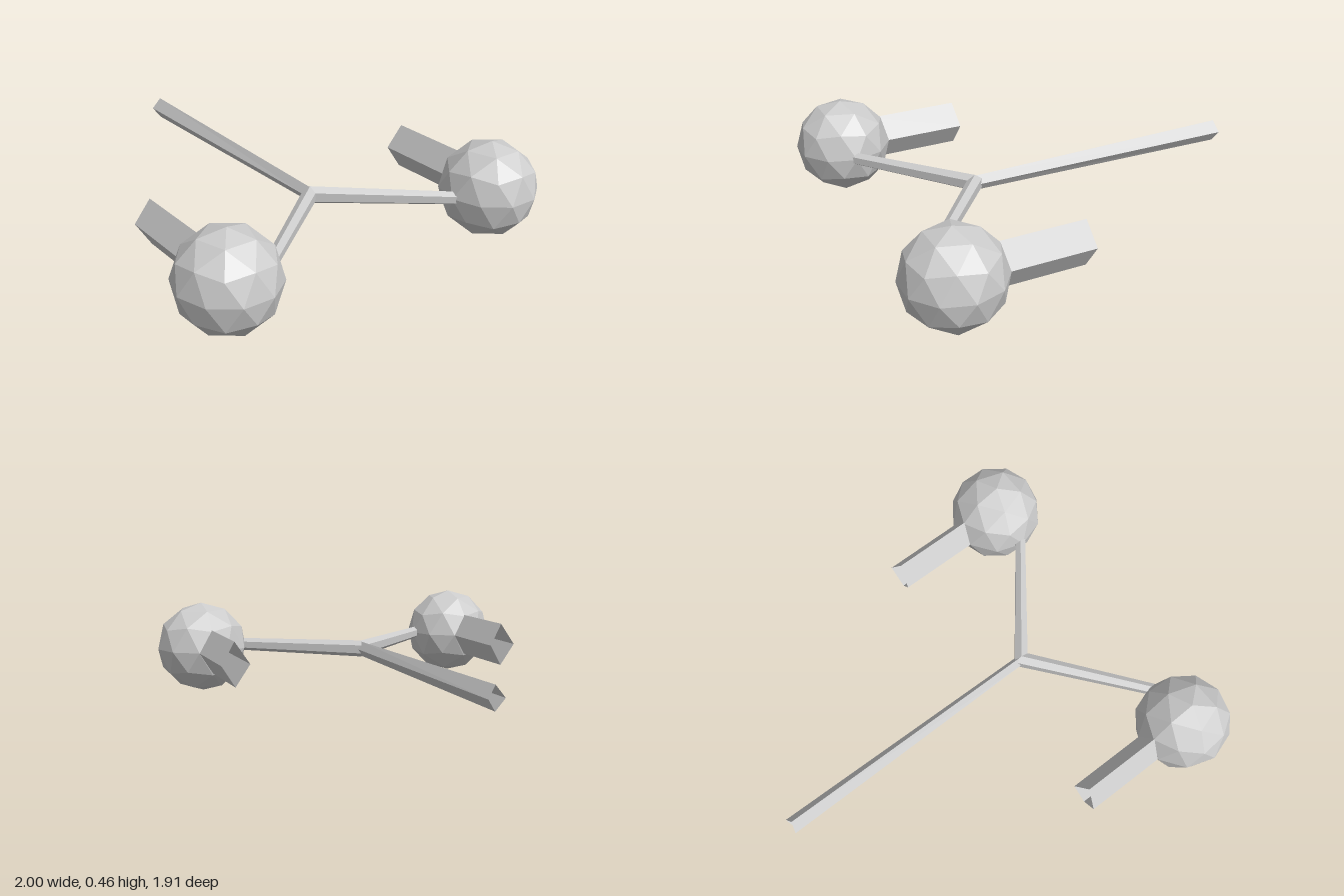
import * as THREE from 'three';

const MID = 0.23; // height of the common centre plane
const BALL_X = 0.781, BALL_Z = 0.725, BALL_R = 0.23;

const solid = new THREE.MeshStandardMaterial({ color: 0xcccccc, flatShading: true });
const open = new THREE.MeshStandardMaterial({ color: 0xcccccc, flatShading: true, side: THREE.DoubleSide });

// Open-ended skin through equally sized rings of [x, y, z] points
function loft(name, rings) {
  const n = rings[0].length;
  const index = [];
  for (let r = 0; r < rings.length - 1; r++) {
    for (let i = 0; i < n; i++) {
      const a = r * n + i, b = r * n + (i + 1) % n;
      index.push(a, a + n, b, b, a + n, b + n);
    }
  }
  const geometry = new THREE.BufferGeometry();
  geometry.setAttribute('position', new THREE.Float32BufferAttribute(rings.flat(2), 3));
  geometry.setIndex(index);
  const flat = geometry.toNonIndexed();
  flat.computeVertexNormals();
  const mesh = new THREE.Mesh(flat, open);
  mesh.name = name;
  return mesh;
}

// Diamond section across x; notch sets the top and bottom corners back
const diamond = (x, z, halfH, halfW, notch = 0) => [
  [x + notch, MID + halfH, z],
  [x, MID, z - halfW],
  [x + notch, MID - halfH, z],
  [x, MID, z + halfW],
];

// Six-sided section lying in a plane of constant z, point upwards
const hexagon = (x, z, halfH, halfW) => [
  [0, 1], [1, 0.5], [1, -0.5], [0, -1], [-1, -0.5], [-1, 0.5],
].map(([u, v]) => [x + u * halfW, MID + v * halfH, z]);

export function createModel() {
  const model = new THREE.Group();
  model.name = 'forkedModel';

  // Long tapering stem with a notched open tip
  model.add(loft('stem', [diamond(-1, 0, 0.055, 0.04, 0.014), diamond(0.36, 0, 0.037, 0.024)]));

  // V-shaped fork, mitred at the stem and buried in the balls
  model.add(loft('fork', [
    hexagon(0.815, 0.56, 0.031, 0.03),
    hexagon(0.37, 0, 0.042, 0.04),
    hexagon(0.815, -0.56, 0.031, 0.03),
  ]));

  // Faceted ball with a corner at each pole
  const ballGeometry = new THREE.IcosahedronGeometry(BALL_R, 1);
  ballGeometry.rotateZ(Math.atan(2 / (1 + Math.sqrt(5))));

  for (const side of [1, -1]) {
    const z = side * BALL_Z;
    const ball = new THREE.Mesh(ballGeometry, solid);
    ball.position.set(BALL_X, MID, z);
    ball.name = side > 0 ? 'frontBall' : 'backBall';
    model.add(ball);

    // Open diamond tube running back from the ball
    model.add(loft(side > 0 ? 'frontTube' : 'backTube',
      [diamond(0.165, z, 0.11, 0.07, 0.016), diamond(0.63, z, 0.11, 0.07)]));
  }
  return model;
}
